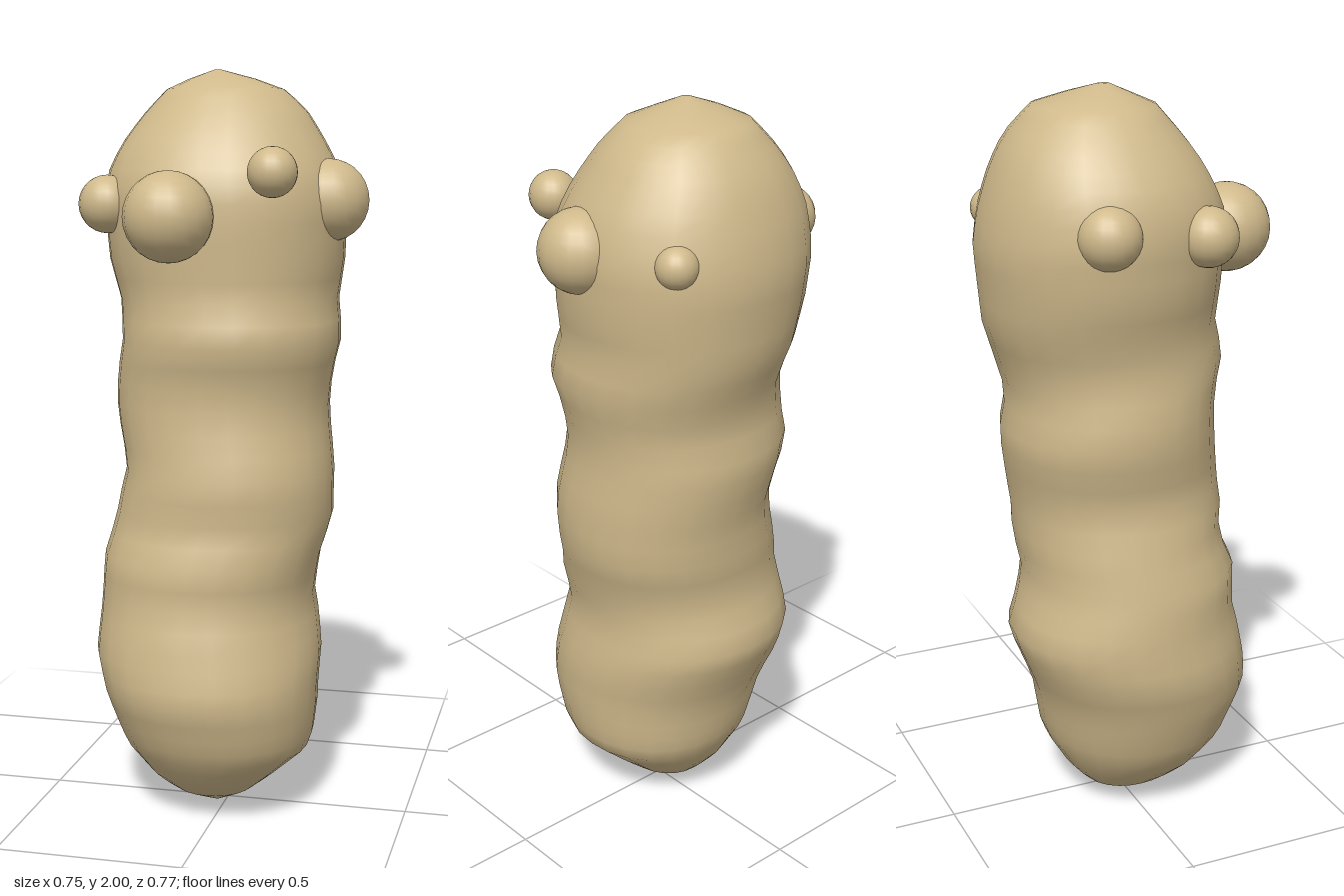
import * as THREE from 'three';
import { mergeVertices } from 'three/addons/utils/BufferGeometryUtils.js';

// Side profile: height, then right and left extent in x
const WIDTHS = [
  [0, -0.03, -0.02], [0.05, -0.14, 0.08], [0.1, -0.2, 0.14], [0.19, -0.27, 0.24], [0.3, -0.31, 0.255],
  [0.45, -0.355, 0.26], [0.6, -0.345, 0.235], [0.7, -0.335, 0.25], [0.82, -0.305, 0.285],
  [0.95, -0.275, 0.285], [1.1, -0.31, 0.265], [1.2, -0.305, 0.275], [1.3, -0.285, 0.3],
  [1.4, -0.3, 0.285], [1.5, -0.33, 0.3], [1.65, -0.345, 0.305], [1.75, -0.33, 0.28],
  [1.83, -0.285, 0.235], [1.9, -0.23, 0.19], [1.96, -0.17, 0.12], [2, -0.05, -0.03],
];
// Front profile: height, then back and front extent in z
const DEPTHS = [
  [0, 0.02, 0.03], [0.05, -0.11, 0.14], [0.1, -0.16, 0.21], [0.2, -0.22, 0.29], [0.36, -0.25, 0.345],
  [0.54, -0.325, 0.31], [0.62, -0.3, 0.285], [0.7, -0.275, 0.3], [0.8, -0.29, 0.26], [0.9, -0.29, 0.275],
  [1.1, -0.325, 0.24], [1.2, -0.3, 0.24], [1.3, -0.325, 0.275], [1.4, -0.36, 0.245], [1.6, -0.38, 0.255],
  [1.7, -0.365, 0.25], [1.8, -0.335, 0.2], [1.87, -0.3, 0.15], [1.95, -0.23, 0.08], [2, -0.07, -0.04],
];

function sample(table, y) {
  let i = 1;
  while (i < table.length - 1 && table[i][0] < y) i++;
  const a = table[i - 1], b = table[i];
  const t = (y - a[0]) / (b[0] - a[0]);
  return [a[1] + (b[1] - a[1]) * t, a[2] + (b[2] - a[2]) * t];
}

// Lumpy column lofted through rounded cross-sections
function bodyGeometry() {
  const sides = 24, rings = 44;
  const pos = [], index = [];
  for (let j = 0; j <= rings; j++) {
    const y = 1 - Math.cos((j / rings) * Math.PI) * 0.5 - 0.5 + (j / rings - 0.5);
    const h = THREE.MathUtils.clamp(y + 0.5, 0, 2);
    const [x0, x1] = sample(WIDTHS, h), [z0, z1] = sample(DEPTHS, h);
    for (let i = 0; i < sides; i++) {
      const a = (i / sides) * Math.PI * 2;
      const c = Math.cos(a), s = Math.sin(a);
      const k = Math.pow(Math.abs(c) ** 2.15 + Math.abs(s) ** 2.15, -1 / 2.15);
      pos.push((x0 + x1) / 2 + c * k * (x1 - x0) / 2, h, (z0 + z1) / 2 + s * k * (z1 - z0) / 2);
    }
  }
  for (let j = 0; j < rings; j++) {
    for (let i = 0; i < sides; i++) {
      const a = j * sides + i, b = j * sides + (i + 1) % sides;
      index.push(a, a + sides, b, b, a + sides, b + sides);
    }
  }
  // Caps
  const bottom = pos.length / 3, top = bottom + 1, last = rings * sides;
  pos.push(-0.025, 0, 0.025, -0.04, 2, -0.055);
  for (let i = 0; i < sides; i++) {
    const n = (i + 1) % sides;
    index.push(bottom, i, n, top, last + n, last + i);
  }
  const geo = new THREE.BufferGeometry();
  geo.setAttribute('position', new THREE.Float32BufferAttribute(pos, 3));
  geo.setIndex(index);
  const merged = mergeVertices(geo, 1e-5);
  merged.computeVertexNormals();
  return merged;
}

export function createModel() {
  const group = new THREE.Group();
  const sand = new THREE.MeshStandardMaterial({ color: 0xcfb98b });
  sand.name = 'sand';

  const body = new THREE.Mesh(bodyGeometry(), sand);
  body.name = 'body';
  group.add(body);

  // Round knobs circling the head: name, x, y, z, radius
  const knobs = [
    ['frontKnob', -0.09, 1.622, 0.27, 0.116],
    ['smallFrontKnob', 0.167, 1.733, 0.222, 0.064],
    ['leftKnob', 0.268, 1.66, -0.01, 0.108],
    ['rightFrontKnob', -0.298, 1.65, 0.115, 0.076],
    ['rightBackKnob', -0.295, 1.67, -0.15, 0.082],
    ['leftBackKnob', 0.19, 1.665, -0.275, 0.055],
  ];
  for (const [name, x, y, z, r] of knobs) {
    const knob = new THREE.Mesh(new THREE.SphereGeometry(r, 20, 14), sand);
    knob.name = name;
    knob.position.set(x, y, z);
    group.add(knob);
  }
  return group;
}
